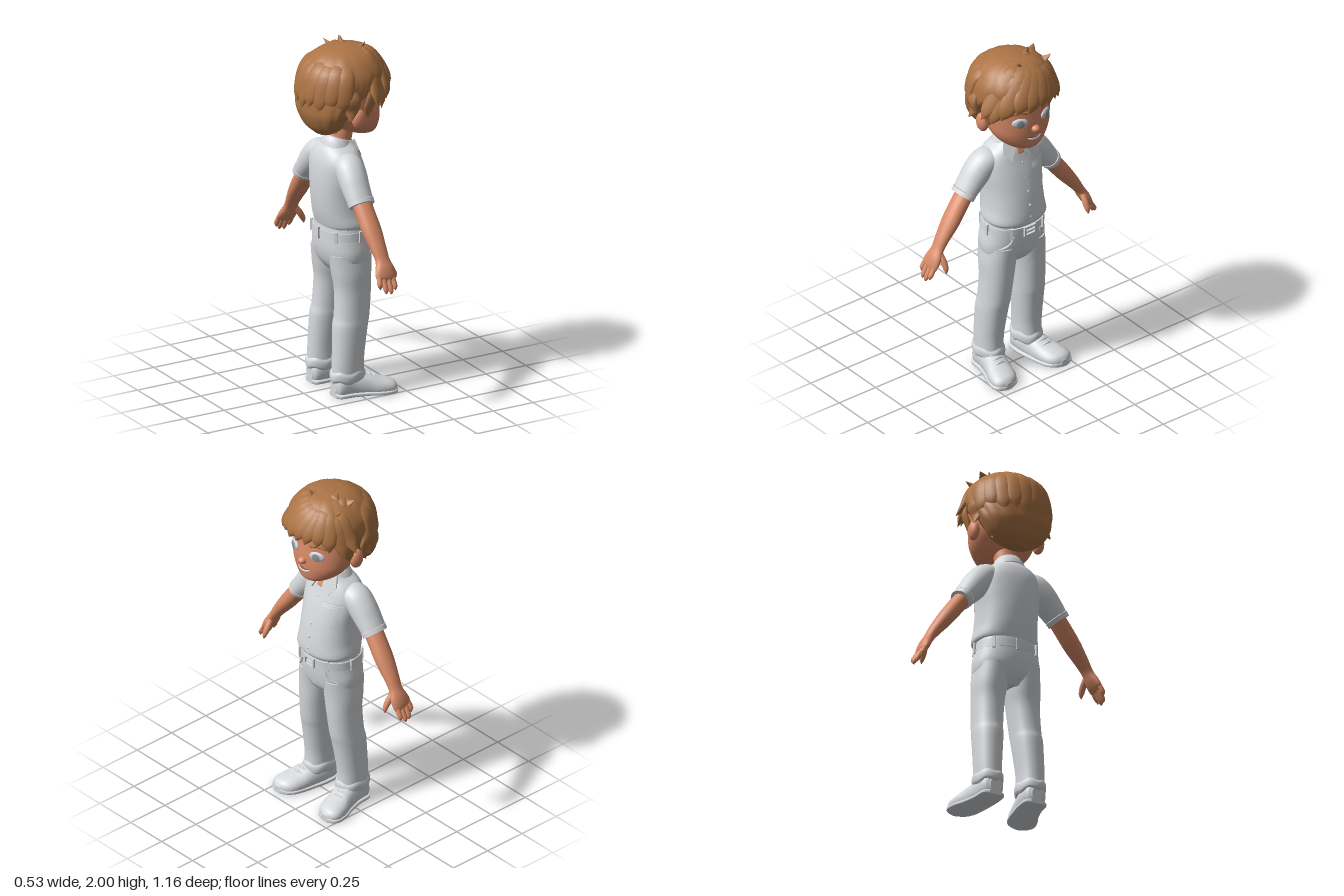
import * as THREE from 'three';

const V = (x, y, z) => new THREE.Vector3(x, y, z);
const UP = V(0, 1, 0), FRONT = V(0, 0, 1);
const mat = (name, color) => new THREE.MeshStandardMaterial({ name, color });

// Smooth interpolation of [x, y, z, ru, rv] rows
function smoothRows(rows, per = 5) {
  const pos = new THREE.CatmullRomCurve3(rows.map(r => V(r[0], r[1], r[2])), false, 'catmullrom');
  const rad = new THREE.CatmullRomCurve3(rows.map(r => V(r[3], r[4], 0)), false, 'catmullrom');
  const n = (rows.length - 1) * per, out = [];
  for (let i = 0; i <= n; i++) {
    const q = rad.getPoint(i / n);
    out.push({ p: pos.getPoint(i / n), t: pos.getTangent(i / n), ru: Math.max(q.x, 0.0005), rv: Math.max(q.y, 0.0005) });
  }
  return out;
}

// Capped skin of superellipse sections. axis fixes the section plane, v is the second section direction
function sweep(rows, { axis, v = FRONT, pow = 2, n = 24, per = 5, warp } = {}) {
  const R = smoothRows(rows, per), pos = [], idx = [];
  const ring = s => {
    const t = axis || s.t;
    const v0 = typeof v === 'function' ? v(s.p) : v;
    const vv = v0.clone().addScaledVector(t, -v0.dot(t)).normalize();
    const uu = vv.clone().cross(t).normalize();
    for (let j = 0; j < n; j++) {
      const a = j / n * Math.PI * 2, c = Math.cos(a), d = Math.sin(a);
      const k = Math.pow(Math.abs(c) ** pow + Math.abs(d) ** pow, -1 / pow);
      const q = s.p.clone().addScaledVector(uu, c * k * s.ru).addScaledVector(vv, d * k * s.rv);
      if (warp) warp(q, s.p, a);
      pos.push(q.x, q.y, q.z);
    }
  };
  R.forEach(ring);
  for (let i = 0; i < R.length - 1; i++) for (let j = 0; j < n; j++) {
    const a = i * n + j, b = i * n + (j + 1) % n;
    idx.push(a, b, b + n, a, b + n, a + n);
  }
  for (const [s, flip] of [[R[0], true], [R[R.length - 1], false]]) {
    const o = pos.length / 3;
    ring(s);
    const c = s.p.clone();
    if (warp) warp(c, s.p, 0);
    pos.push(c.x, c.y, c.z);
    for (let j = 0; j < n; j++) {
      const a = o + j, b = o + (j + 1) % n;
      flip ? idx.push(o + n, b, a) : idx.push(o + n, a, b);
    }
  }
  const g = new THREE.BufferGeometry();
  g.setAttribute('position', new THREE.Float32BufferAttribute(pos, 3));
  g.setIndex(idx);
  g.computeVertexNormals();
  return g;
}

// Thin patch lying on the front of a vertical body
function patch(rows, pow, x0, x1, y0, y1, lift) {
  const R = smoothRows(rows, 10);
  const g = new THREE.PlaneGeometry(x1 - x0, y1 - y0, 8, 14).translate((x0 + x1) / 2, (y0 + y1) / 2, 0);
  const P = g.attributes.position;
  for (let i = 0; i < P.count; i++) {
    const s = R.reduce((a, b) => Math.abs(b.p.y - P.getY(i)) < Math.abs(a.p.y - P.getY(i)) ? b : a);
    const e = Math.min(1, Math.abs(P.getX(i) - s.p.x) / s.ru);
    P.setZ(i, s.p.z + s.rv * Math.pow(1 - e ** pow, 1 / pow) + lift);
  }
  g.computeVertexNormals();
  return g;
}

const ball = (x, y, z, a, b, c) => new THREE.SphereGeometry(1, 24, 16).scale(a, b, c).translate(x, y, z);

export function createModel() {
  const root = new THREE.Group(), body = new THREE.Group();
  root.name = 'boy';
  body.name = 'body';
  body.rotation.y = Math.PI / 2; // the face looks along +x
  root.add(body);
  const cloth = mat('light grey cloth', 0xd6d9dc), skin = mat('skin', 0xd98b68), hair = mat('brown hair', 0xac7445);
  const eyeWhite = mat('eye white', 0xc9cfd4), iris = mat('iris grey', 0x8d969d), lip = mat('mouth', 0x8a4a3c);
  cloth.side = THREE.DoubleSide;
  const add = (name, geo, m) => {
    const mesh = new THREE.Mesh(geo, m);
    mesh.name = name;
    body.add(mesh);
    return mesh;
  };
  const tube = (name, pts, r, m) => add(name, sweep(pts.map(p => [...p, r, r]), { v: V(0.3, 0.5, 0.8), n: 8 }), m);

  // Shirt
  const shirt = [[0, 0.955, 0.002, 0.168, 0.143], [0, 0.98, 0.003, 0.182, 0.152], [0, 1.05, -0.008, 0.172, 0.157],
    [0, 1.15, -0.022, 0.17, 0.153], [0, 1.25, -0.035, 0.178, 0.14], [0, 1.33, -0.045, 0.175, 0.122],
    [0, 1.385, -0.045, 0.14, 0.104], [0, 1.42, -0.04, 0.09, 0.084], [0, 1.44, -0.04, 0.07, 0.07]];
  add('shirt', sweep(shirt, { axis: UP, pow: 2.3, n: 40 }), cloth);
  add('placket', patch(shirt, 2.3, -0.016, 0.016, 0.975, 1.37, 0.006), cloth);
  add('chestPocket', patch(shirt, 2.3, 0.055, 0.155, 1.165, 1.3, 0.006), cloth);
  add('pocketFlap', patch(shirt, 2.3, 0.052, 0.158, 1.275, 1.31, 0.011), cloth);
  [[1.32, 0.083], [1.24, 0.109], [1.16, 0.134], [1.08, 0.151], [1.01, 0.157]].forEach(([y, z]) =>
    add('button', ball(0, y, z, 0.008, 0.008, 0.006), cloth));

  // Neck and collar
  add('neck', sweep([[0, 1.36, -0.02, 0.06, 0.06], [0, 1.43, -0.02, 0.062, 0.06], [0, 1.54, 0, 0.068, 0.065]], { axis: UP }), skin);
  add('collarBand', sweep([[0, 1.395, -0.045, 0.1, 0.09], [0, 1.425, -0.04, 0.088, 0.083], [0, 1.452, -0.035, 0.074, 0.07]],
    { axis: V(0, 0.95, 0.31).normalize() }), cloth);
  add('openNeck', patch(shirt, 2.3, -0.018, 0.018, 1.375, 1.425, 0.012), skin);

  // Trousers
  const hips = [[0, 0.7, -0.012, 0.12, 0.085], [0, 0.75, -0.012, 0.18, 0.118], [0, 0.81, -0.014, 0.193, 0.134],
    [0, 0.88, -0.013, 0.183, 0.14], [0, 0.96, -0.008, 0.168, 0.14]];
  add('hips', sweep(hips, { axis: UP, pow: 2.3, n: 40 }), cloth);
  add('fly', patch(hips, 2.3, -0.014, 0.014, 0.76, 0.89, 0.005), cloth);
  add('belt', sweep([[0, 0.895, -0.01, 0.181, 0.147], [0, 0.942, -0.008, 0.177, 0.148]], { axis: UP, pow: 2.3, n: 40 }), cloth);
  for (const [x, y, w, h] of [[0, 0.024, 0.075, 0.01], [0, -0.024, 0.075, 0.01], [0.034, 0, 0.01, 0.05], [-0.034, 0, 0.01, 0.05], [0.005, 0, 0.05, 0.008]])
    add('buckle', new THREE.BoxGeometry(w, h, 0.014).translate(x, 0.918 + y, 0.147), cloth);
  for (const a of [0.6, 1.5, 2.4, 3.14, -2.4, -1.5, -0.6]) {
    const loop = add('beltLoop', new THREE.BoxGeometry(0.018, 0.065, 0.012), cloth);
    const k = (Math.abs(Math.sin(a)) ** 2.3 + Math.abs(Math.cos(a)) ** 2.3) ** (-1 / 2.3);
    loop.position.set(Math.sin(a) * k * 0.182, 0.918, -0.009 + Math.cos(a) * k * 0.15);
    loop.rotation.y = a;
  }

  for (const s of [-1, 1]) {
    const side = rows => rows.map(([x, ...r]) => [x * s, ...r]);
    // Collar point
    const flap = new THREE.Shape([[0.018, 0.0], [0.085, 0.035], [0.1, -0.03], [0.065, -0.085]].map(p => new THREE.Vector2(p[0] * s, p[1])));
    const cp = add('collarPoint', new THREE.ExtrudeGeometry(flap, { depth: 0.012, bevelEnabled: false }), cloth);
    cp.position.set(0, 1.425, 0.052);
    cp.rotation.set(-0.4, s * 0.35, 0);
    // Sleeve and hem
    add('sleeve', sweep(side([[0.09, 1.345, -0.05, 0.05, 0.07], [0.15, 1.325, -0.055, 0.073, 0.082], [0.2, 1.275, -0.06, 0.077, 0.082],
      [0.25, 1.215, -0.062, 0.068, 0.078], [0.3, 1.155, -0.062, 0.056, 0.073]])), cloth);
    add('sleeveHem', sweep(side([[0.283, 1.176, -0.062, 0.062, 0.078], [0.301, 1.154, -0.062, 0.059, 0.076]])), cloth);
    // Arm and hand
    add('arm', sweep(side([[0.26, 1.2, -0.06, 0.046, 0.056], [0.33, 1.11, -0.055, 0.047, 0.056], [0.39, 1.03, -0.05, 0.044, 0.056],
      [0.45, 0.95, -0.045, 0.034, 0.046], [0.486, 0.895, -0.042, 0.027, 0.042], [0.512, 0.85, -0.042, 0.028, 0.056],
      [0.533, 0.81, -0.048, 0.021, 0.06], [0.542, 0.79, -0.052, 0.008, 0.045]])), skin);
    [[-0.094, 0.76, 0.552], [-0.066, 0.735, 0.567], [-0.036, 0.73, 0.57], [-0.008, 0.748, 0.564]].forEach(([z, y, x]) =>
      add('finger', sweep(side([[0.528, 0.825, -0.05 + (z + 0.05) * 0.85, 0.013, 0.014], [0.548, 0.785, z, 0.014, 0.015],
        [x, y + 0.012, z, 0.012, 0.013], [x + 0.003, y - 0.006, z, 0.003, 0.003]]), { n: 12 }), skin));
    add('thumb', sweep(side([[0.492, 0.875, -0.015, 0.018, 0.018], [0.487, 0.835, 0.014, 0.018, 0.018],
      [0.487, 0.8, 0.033, 0.014, 0.014], [0.489, 0.775, 0.038, 0.003, 0.003]]), { n: 12 }), skin);
    // Trouser leg, turned-up cuff, pocket seam
    add('trouserLeg', sweep(side([[0.092, 0.81, -0.014, 0.092, 0.125], [0.101, 0.7, -0.012, 0.094, 0.112], [0.108, 0.6, -0.008, 0.086, 0.103],
      [0.117, 0.46, -0.018, 0.081, 0.1], [0.121, 0.4, -0.03, 0.081, 0.1], [0.126, 0.3, -0.041, 0.077, 0.094], [0.13, 0.2, -0.049, 0.073, 0.09],
      [0.13, 0.09, -0.05, 0.072, 0.093]]), { axis: UP, pow: 2.2, n: 32 }), cloth);
    add('cuff', sweep(side([[0.13, 0.085, -0.05, 0.07, 0.09], [0.13, 0.1, -0.05, 0.078, 0.1], [0.13, 0.13, -0.05, 0.079, 0.1], [0.13, 0.152, -0.05, 0.07, 0.088]]),
      { axis: UP, pow: 2.2, n: 32, warp: (q, c, a) => { q.y += 0.006 * Math.sin(a * 5); } }), cloth);
    tube('pocketSeam', side([[0.09, 0.892, 0.119], [0.105, 0.85, 0.112], [0.14, 0.82, 0.088], [0.175, 0.81, 0.04]]), 0.006, cloth);
    // Shoe: upper, sole and laces
    const shoe = side([[0.127, 0.055, -0.14, 0.03, 0.04], [0.13, 0.06, -0.115, 0.06, 0.068], [0.133, 0.06, -0.04, 0.066, 0.078], [0.15, 0.048, 0.04, 0.072, 0.073],
      [0.168, 0.038, 0.1, 0.08, 0.058], [0.182, 0.032, 0.16, 0.077, 0.047], [0.188, 0.03, 0.195, 0.055, 0.034], [0.19, 0.028, 0.213, 0.015, 0.012]]);
    add('shoe', sweep(shoe, { axis: FRONT, v: UP, pow: 2.2, warp: q => { q.y = Math.max(q.y, 0.004); } }), cloth);
    add('sole', sweep(shoe.map(([x, y, z, w]) => [x, 0.013, z, w + 0.006, 0.013]), { axis: FRONT, v: UP, pow: 5 }), cloth);
    [[0.03, 0.124, 0.148], [0.058, 0.112, 0.156], [0.086, 0.1, 0.163]].forEach(([z, y, x]) =>
      tube('lace', side([[x - 0.035, y - 0.011, z], [x, y + 0.001, z + 0.006], [x + 0.035, y - 0.011, z]]), 0.007, cloth));
    // Ear, eye and brow
    add('ear', ball(s * 0.197, 1.61, -0.018, 0.03, 0.056, 0.042), skin);
    const eye = add('eye', ball(0, 0, 0, 0.046, 0.029, 0.014), eyeWhite);
    eye.position.set(s * 0.087, 1.65, 0.171);
    eye.rotation.y = s * 0.42;
    const pupil = add('iris', ball(0, 0, 0, 0.022, 0.024, 0.004), iris);
    pupil.position.set(s * 0.087 + s * 0.004, 1.65, 0.184);
    pupil.rotation.y = s * 0.42;
    tube('eyebrow', side([[0.045, 1.705, 0.184], [0.09, 1.718, 0.17], [0.135, 1.705, 0.142]]), 0.009, hair);
  }

  // Head, nose and smile
  add('head', sweep([[0, 1.458, 0.125, 0.035, 0.035], [0, 1.475, 0.103, 0.09, 0.077], [0, 1.51, 0.07, 0.14, 0.118], [0, 1.56, 0.05, 0.175, 0.143],
    [0, 1.62, 0.03, 0.19, 0.163], [0, 1.7, 0.018, 0.196, 0.168], [0, 1.78, 0.01, 0.19, 0.17], [0, 1.88, 0, 0.13, 0.12]], { axis: UP, n: 40 }), skin);
  add('nose', ball(0, 1.597, 0.197, 0.024, 0.021, 0.027), skin);
  add('teeth', sweep([[-0.05, 1.546, 0.181, 0.003, 0.003], [-0.025, 1.536, 0.191, 0.008, 0.006], [0, 1.533, 0.194, 0.01, 0.006],
    [0.025, 1.536, 0.191, 0.008, 0.006], [0.05, 1.546, 0.181, 0.003, 0.003]], { n: 12 }), eyeWhite);
  tube('upperLip', [[-0.058, 1.553, 0.178], [0, 1.544, 0.195], [0.058, 1.553, 0.178]], 0.004, lip);

  // Hair cap with soft ridges
  add('hairCap', sweep([[0, 1.5, -0.135, 0.07, 0.04], [0, 1.545, -0.135, 0.15, 0.085], [0, 1.62, -0.133, 0.197, 0.118], [0, 1.68, -0.11, 0.215, 0.145],
    [0, 1.735, -0.06, 0.225, 0.195], [0, 1.78, -0.024, 0.23, 0.227], [0, 1.85, -0.005, 0.218, 0.228], [0, 1.92, 0, 0.17, 0.18],
    [0, 1.96, 0.005, 0.105, 0.115], [0, 1.975, 0.01, 0.03, 0.03]], { axis: UP, n: 96, warp: (q, c, a) => {
    const k = 0.985 + 0.03 * Math.abs(Math.sin(a * 6.5 + q.y * 9)) * (a < 6.1 && a > 0.18 ? 1 : 0.5);
    q.x *= k;
    q.z = c.z + (q.z - c.z) * k;
  } }), hair);

  // Pointed locks bending over the skull
  const C = V(0, 1.75, -0.005);
  const onSkull = (p, k) => {
    const d = p.clone().sub(C);
    return d.multiplyScalar(k / Math.hypot(d.x / 0.225, d.y / 0.215, d.z / 0.235)).add(C);
  };
  const lock = (a, b, w, k = 1.03) => {
    const A = onSkull(V(...a), 0.97), B = V(...b);
    const m1 = onSkull(A.clone().lerp(B, 0.35), k), m2 = onSkull(A.clone().lerp(B, 0.72), k);
    const rows = [[A, 0.4], [m1, 0.95], [m2, 0.9], [B, 0.04]].map(([p, f]) => [p.x, p.y, p.z, w * f, w * f * 0.45]);
    add('hairLock', sweep(rows, { v: p => p.clone().sub(C), n: 12 }), hair);
  };
  // Fringe and temples
  const crown = [0.06, 1.95, 0.06];
  [[-0.268, 1.69, 0.06, 0.05], [-0.235, 1.665, 0.1, 0.045], [-0.2, 1.7, 0.15, 0.055], [-0.135, 1.735, 0.205, 0.055], [-0.07, 1.735, 0.235, 0.055],
    [0.0, 1.75, 0.25, 0.055], [0.06, 1.745, 0.24, 0.05], [0.125, 1.745, 0.21, 0.05], [0.18, 1.715, 0.165, 0.05], [0.235, 1.67, 0.1, 0.045],
    [0.272, 1.71, 0.05, 0.045]].forEach(([x, y, z, w]) => lock(crown, [x, y, z], w, 1.04));
  for (const s of [-1, 1]) {
    lock([s * 0.2, 1.8, 0.05], [s * 0.2, 1.61, 0.035], 0.035, 1);
    lock([s * 0.2, 1.8, -0.06], [s * 0.235, 1.62, -0.09], 0.05);
  }
  // Back rows down to the nape
  for (let i = 0; i < 9; i++) {
    const a = Math.PI * (0.14 + 0.72 * i / 8), c = Math.cos(a), d = Math.sin(a);
    lock([c * 0.12, 1.93, -0.1 * d], [c * 0.22, 1.66 + 0.02 * (i % 2), -0.03 - 0.235 * d], 0.055, 1.04);
    lock([c * 0.2, 1.75, -0.2 * d], [c * 0.16, 1.53 + 0.02 * (i % 2), -0.08 - 0.13 * d], 0.045, 1.02);
  }
  // Loose tufts on top
  [[[0.07, 1.95, 0.04], [0.085, 2.0, 0.02], 0.03], [[0.1, 1.95, 0.05], [0.165, 1.965, -0.03], 0.035],
    [[-0.02, 1.96, 0.08], [-0.045, 1.99, 0.11], 0.03], [[0.12, 1.93, 0.08], [0.19, 1.95, 0.09], 0.03]].forEach(t => lock(...t, 1.05));
  return root;
}
